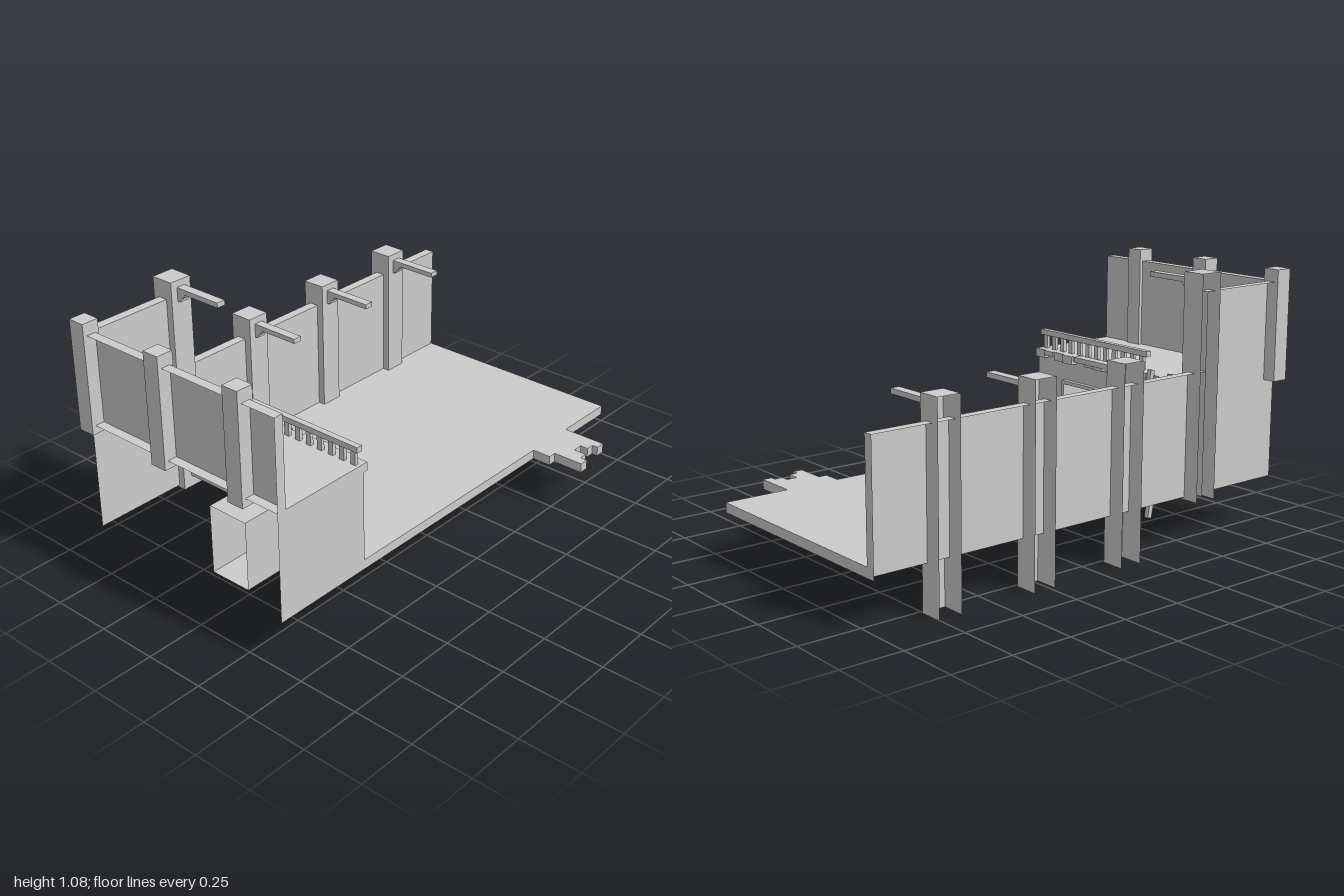
import * as THREE from 'three';

const mat = new THREE.MeshStandardMaterial({ color: 0xcccccc, flatShading: true, side: THREE.DoubleSide });
const SIDES = ['+x', '-x', '+y', '-y', '+z', '-z'];

export function createModel() {
  const model = new THREE.Group();

  function add(name, geometry, parent = model) {
    const mesh = new THREE.Mesh(geometry, mat);
    mesh.name = name;
    parent.add(mesh);
    return mesh;
  }
  // Box between two corners; "faces" limits it to an open shell
  function box(name, [x0, x1], [y0, y1], [z0, z1], faces = SIDES, parent = model) {
    const g = new THREE.BoxGeometry(x1 - x0, y1 - y0, z1 - z0);
    const all = Array.from(g.index.array);
    g.setIndex(SIDES.flatMap((s, i) => (faces.includes(s) ? all.slice(i * 6, i * 6 + 6) : [])));
    g.clearGroups();
    g.translate((x0 + x1) / 2, (y0 + y1) / 2, (z0 + z1) / 2);
    return add(name, g, parent);
  }
  const poly = (pts) => new THREE.Shape(pts.map(([x, y]) => new THREE.Vector2(x, y)));

  // Lower floor with a broken plank edge at the front, open underneath
  const floorY = 0.23, baseY = 0.19, deckY = 0.635;
  const outline = [
    [-0.55, 0.4], [0.5, 0.4], [0.5, 0.48], [0.535, 0.48], [0.535, 0.61], [0.575, 0.61],
    [0.575, 0.58], [0.61, 0.58], [0.61, 0.525], [0.655, 0.525], [0.655, 0.56], [0.69, 0.56],
    [0.69, 0.585], [0.73, 0.585], [0.73, 0.4], [1, 0.4], [1, -0.545], [-0.55, -0.545],
  ];
  const floor = new THREE.ShapeGeometry(poly(outline.map(([x, z]) => [x, -z])));
  floor.rotateX(-Math.PI / 2).translate(0, floorY, 0);
  add('lowerFloor', floor);

  // Rim strip following the front and right edges of the floor
  const rim = new THREE.Group();
  rim.name = 'floorRim';
  model.add(rim);
  for (let i = 0; i < outline.length - 2; i++) {
    const [x0, z0] = outline[i], [x1, z1] = outline[i + 1];
    const strip = new THREE.PlaneGeometry(Math.hypot(x1 - x0, z1 - z0), floorY - baseY);
    strip.rotateY(Math.atan2(z0 - z1, x1 - x0));
    strip.translate((x0 + x1) / 2, (floorY + baseY) / 2, (z0 + z1) / 2);
    add('rimStrip', strip, rim);
  }

  // Outer walls, open at the back
  box('backWallLow', [-0.55, 1], [baseY, 0.69], [-0.585, -0.545], ['+x', '+y', '+z']);
  box('backWallHigh', [-0.985, -0.55], [baseY, 1], [-0.585, -0.545], ['+x', '+y', '+z']);
  box('leftWall', [-0.985, -0.945], [deckY, 1], [-0.585, 0.4], ['+x', '+y', '+z']);

  // Raised deck and its front wall
  box('upperDeck', [-0.985, -0.55], [baseY, deckY], [-0.545, 0.4], ['+y', '+z']);

  // Deck side wall with a doorway
  const wall = poly([[-0.4, floorY], [-0.215, floorY], [-0.215, 0.51], [-0.04, 0.51],
    [-0.04, floorY], [0.545, floorY], [0.545, deckY], [-0.4, deckY]]);
  add('doorWall', new THREE.ShapeGeometry(wall).rotateY(Math.PI / 2).translate(-0.55, 0, 0));
  box('doorPassage', [-0.96, -0.55], [floorY, 0.51], [0.04, 0.215], ['+y', '-y', '+z', '-z']);

  // Door frame
  const frame = poly([[-0.23, floorY], [-0.215, floorY], [-0.215, 0.507], [-0.04, 0.507],
    [-0.04, floorY], [-0.025, floorY], [-0.025, 0.522], [-0.23, 0.522]]);
  add('doorFrame', new THREE.ExtrudeGeometry(frame, { depth: 0.02, bevelEnabled: false })
    .rotateY(Math.PI / 2).translate(-0.55, 0, 0));

  // Back posts: channels open behind, each with a beam on a curved bracket
  const bracket = new THREE.Shape();
  bracket.moveTo(0.515, 0);
  bracket.lineTo(0.3, 0);
  bracket.lineTo(0.3, -0.02);
  bracket.lineTo(0.475, -0.02);
  bracket.lineTo(0.482, -0.035);
  bracket.quadraticCurveTo(0.497, -0.038, 0.498, -0.055);
  bracket.lineTo(0.515, -0.06);
  const beam = new THREE.ExtrudeGeometry(bracket, { depth: 0.038, bevelEnabled: false, curveSegments: 4 });
  beam.rotateY(Math.PI / 2).translate(-0.019, 0, 0);
  for (const [x, y0, y1] of [[-0.54, 0.18, 1.075], [-0.145, 0, 0.783], [0.28, 0, 0.783], [0.705, 0, 0.783]]) {
    box('backPost', [x - 0.048, x + 0.048], [y0, y1], [-0.613, -0.515], ['+x', '-x', '+y', '+z']);
    add('beam', beam).position.set(x, y1 - 0.027, 0);
  }

  // Posts along the left wall
  for (const z of [-0.563, -0.172, 0.213]) {
    box('leftPost', [-1, -0.93], [0.6, 1.05], [z - 0.036, z + 0.036], ['+x', '-x', '+y', '+z', '-z']);
  }

  // Ragged plank ends along the deck edge
  const planks = new THREE.Group();
  planks.name = 'deckEdge';
  model.add(planks);
  const reach = [0.018, 0.026, 0.02, 0.03, 0.022, 0.014, 0.024, 0.018, 0.028, 0.02, 0.032, 0.016, 0.024, 0.03, 0.02];
  const step = 0.915 / reach.length;
  reach.forEach((r, i) => {
    const z = 0.4 - i * step;
    box('plankEnd', [-0.55, -0.55 + r], [i % 3 === 1 ? 0.615 : 0.6, deckY], [z - step, z], SIDES, planks);
  });

  // Railing
  const railing = new THREE.Group();
  railing.name = 'railing';
  model.add(railing);
  box('handrail', [-0.585, -0.56], [0.692, 0.715], [-0.25, 0.4], SIDES, railing);
  for (let i = 0; i < 12; i++) {
    const z = 0.375 - i * 0.0535;
    box('baluster', [-0.58, -0.565], [deckY, 0.692], [z - 0.011, z + 0.011], SIDES, railing);
  }

  // Leaning ladder
  const ladder = new THREE.Group();
  ladder.name = 'ladder';
  const half = Math.hypot(0.11, 0.565) / 2;
  for (const z of [-0.31, -0.42]) {
    box('ladderRail', [-0.01, 0.01], [-half, half], [z - 0.01, z + 0.01], SIDES, ladder);
  }
  for (let i = 0; i < 7; i++) {
    const y = -0.108 + i * 0.058;
    box('rung', [-0.008, 0.008], [y - 0.006, y + 0.006], [-0.412, -0.318], SIDES, ladder);
  }
  ladder.position.set(-0.474, 0.373, 0);
  ladder.rotation.z = Math.atan2(0.11, 0.565);
  model.add(ladder);

  return model;
}
